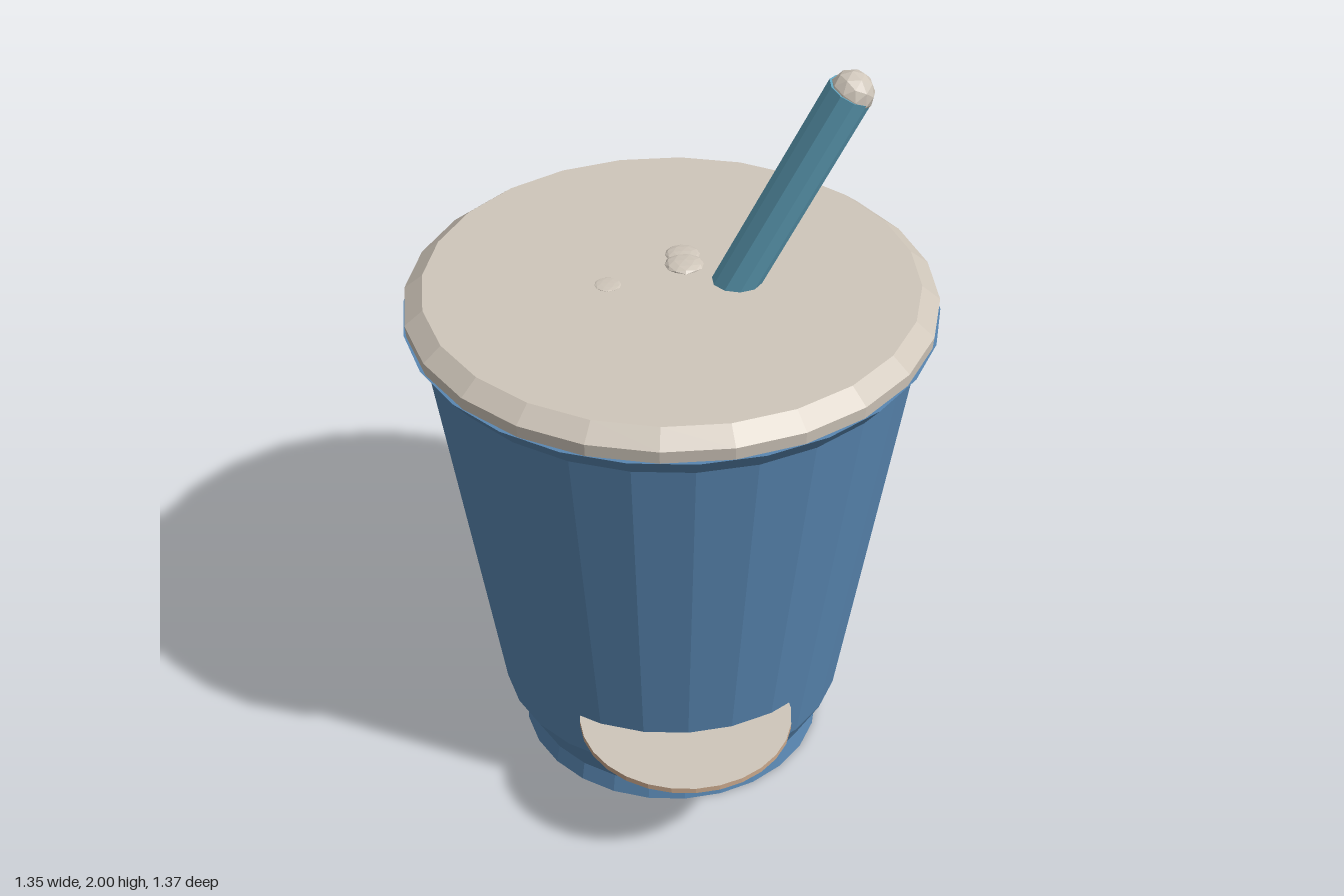
import * as THREE from 'three';

const flat = (name, color) => {
  const m = new THREE.MeshStandardMaterial({ color, flatShading: true });
  m.name = name;
  return m;
};

export function createModel() {
  const blue = flat('cupBlue', 0x5987b2);
  const teal = flat('strawTeal', 0x60a2bc);
  const cream = flat('lidCream', 0xcfc6ba);
  const tan = flat('rimTan', 0xc9a88c);

  const group = new THREE.Group();
  group.name = 'drinkCup';

  const add = (name, geometry, material, x = 0, y = 0, z = 0) => {
    const mesh = new THREE.Mesh(geometry, material);
    mesh.name = name;
    mesh.position.set(x, y, z);
    group.add(mesh);
    return mesh;
  };
  const lathe = (points, sides, start = 0) =>
    new THREE.LatheGeometry(points.map(([r, y]) => new THREE.Vector2(r, y)), sides, start);

  // Cup body with a small foot, tapered wall and flared lip
  add('cup', lathe([
    [0, 0], [0.41, 0], [0.4, 0.05], [0.463, 0.17],
    [0.632, 1.27], [0.678, 1.328], [0, 1.33],
  ], 26), blue, 0, 0, -0.007);

  // Lid with a bevelled edge
  add('lid', lathe([
    [0, 1.328], [0.672, 1.328], [0.675, 1.362], [0.628, 1.4], [0, 1.4],
  ], 24, Math.PI / 24), cream, 0, 0, -0.007);

  // Straw leaning to one side, ending in a round tip
  const base = new THREE.Vector3(0.118, 1.3, -0.005);
  const top = new THREE.Vector3(0.42, 1.95, 0.063);
  const axis = top.clone().sub(base);
  const straw = add('straw', new THREE.CylinderGeometry(0.058, 0.058, axis.length(), 10), teal);
  straw.position.copy(base).add(top).multiplyScalar(0.5);
  straw.quaternion.setFromUnitVectors(new THREE.Vector3(0, 1, 0), axis.normalize());
  add('strawTip', new THREE.IcosahedronGeometry(0.056, 1), cream, 0.422, 1.945, 0.063);

  // Shallow bumps on the lid: x, z, radius, height
  [[0.04, -0.082, 0.05, 0.013], [0.04, -0.13, 0.045, 0.01], [-0.16, -0.003, 0.034, 0.004]]
    .forEach(([x, z, r, h]) => {
      const bump = add('lidBump', new THREE.IcosahedronGeometry(1, 1), cream, x, 1.4, z);
      bump.scale.set(r, h, r);
    });

  // Thin round ledge set into the front of the cup
  add('frontLedge', new THREE.CylinderGeometry(0.279, 0.279, 0.015, 28),
    [tan, cream, cream], 0, 0.305, 0.406);

  return group;
}
